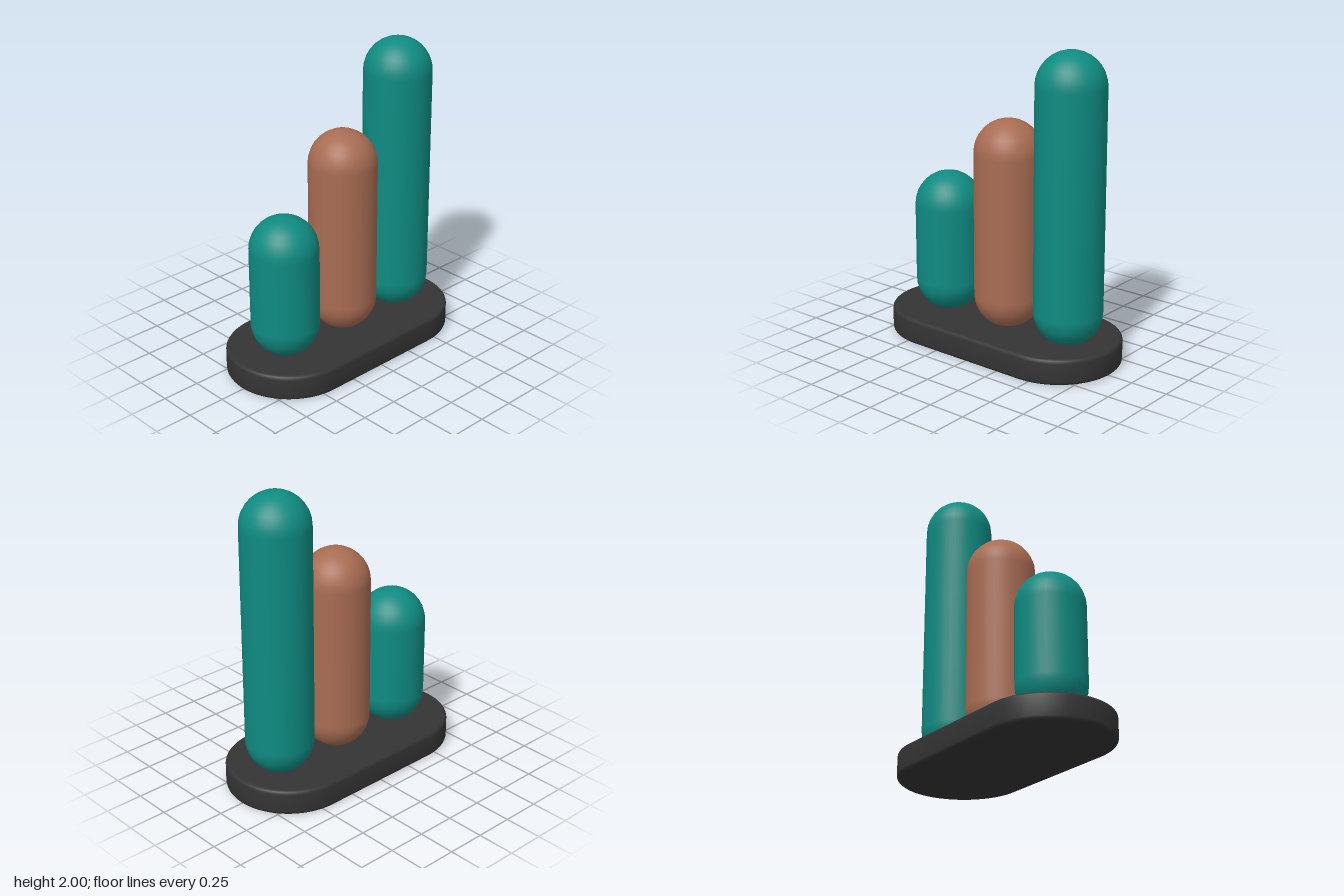
import * as THREE from 'three';
import { toCreasedNormals } from 'three/addons/utils/BufferGeometryUtils.js';

const BASE_TOP = 0.17;

// Rounded slab with semicircular ends, lying in the xz plane
function baseGeometry(halfWidth, halfLength, height, bevel) {
  const r = halfWidth - bevel;
  const c = halfLength - halfWidth;
  const shape = new THREE.Shape();
  shape.absarc(0, c, r, 0, Math.PI, false);
  shape.absarc(0, -c, r, Math.PI, Math.PI * 2, false);
  shape.closePath();
  const extruded = new THREE.ExtrudeGeometry(shape, {
    depth: height - 2 * bevel, curveSegments: 20,
    bevelSize: bevel, bevelThickness: bevel, bevelSegments: 4,
  });
  extruded.rotateX(-Math.PI / 2).translate(0, bevel, 0);
  const geometry = toCreasedNormals(extruded, 0.6);
  // Keep the large top and bottom faces evenly flat
  const { position, normal } = geometry.attributes;
  for (let i = 0; i < position.count; i++) {
    const y = position.getY(i);
    if (y > height - 1e-4) normal.setXYZ(i, 0, 1, 0);
    else if (y < 1e-4) normal.setXYZ(i, 0, -1, 0);
  }
  return geometry;
}

export function createModel() {
  const teal = new THREE.MeshStandardMaterial({ color: 0x0f8b81 });
  teal.name = 'teal';
  const clay = new THREE.MeshStandardMaterial({ color: 0xa86c53 });
  clay.name = 'clay brown';
  const charcoal = new THREE.MeshStandardMaterial({ color: 0x343434 });
  charcoal.name = 'charcoal';

  const model = new THREE.Group();
  model.name = 'pillarStand';

  const base = new THREE.Mesh(baseGeometry(0.41, 0.84, BASE_TOP, 0.025), charcoal);
  base.name = 'base';
  model.add(base);

  // Round-ended pillars, sunk slightly into the base
  const radius = 0.22;
  const bottom = BASE_TOP - 0.04;
  const pillars = [
    ['frontPillar', 1.077, 0.47, teal],
    ['middlePillar', 1.507, -0.03, clay],
    ['backPillar', 2, -0.51, teal],
  ];
  for (const [name, top, z, material] of pillars) {
    const length = top - bottom - 2 * radius;
    const pillar = new THREE.Mesh(new THREE.CapsuleGeometry(radius, length, 8, 32), material);
    pillar.name = name;
    pillar.position.set(0, (top + bottom) / 2, z);
    model.add(pillar);
  }
  return model;
}
